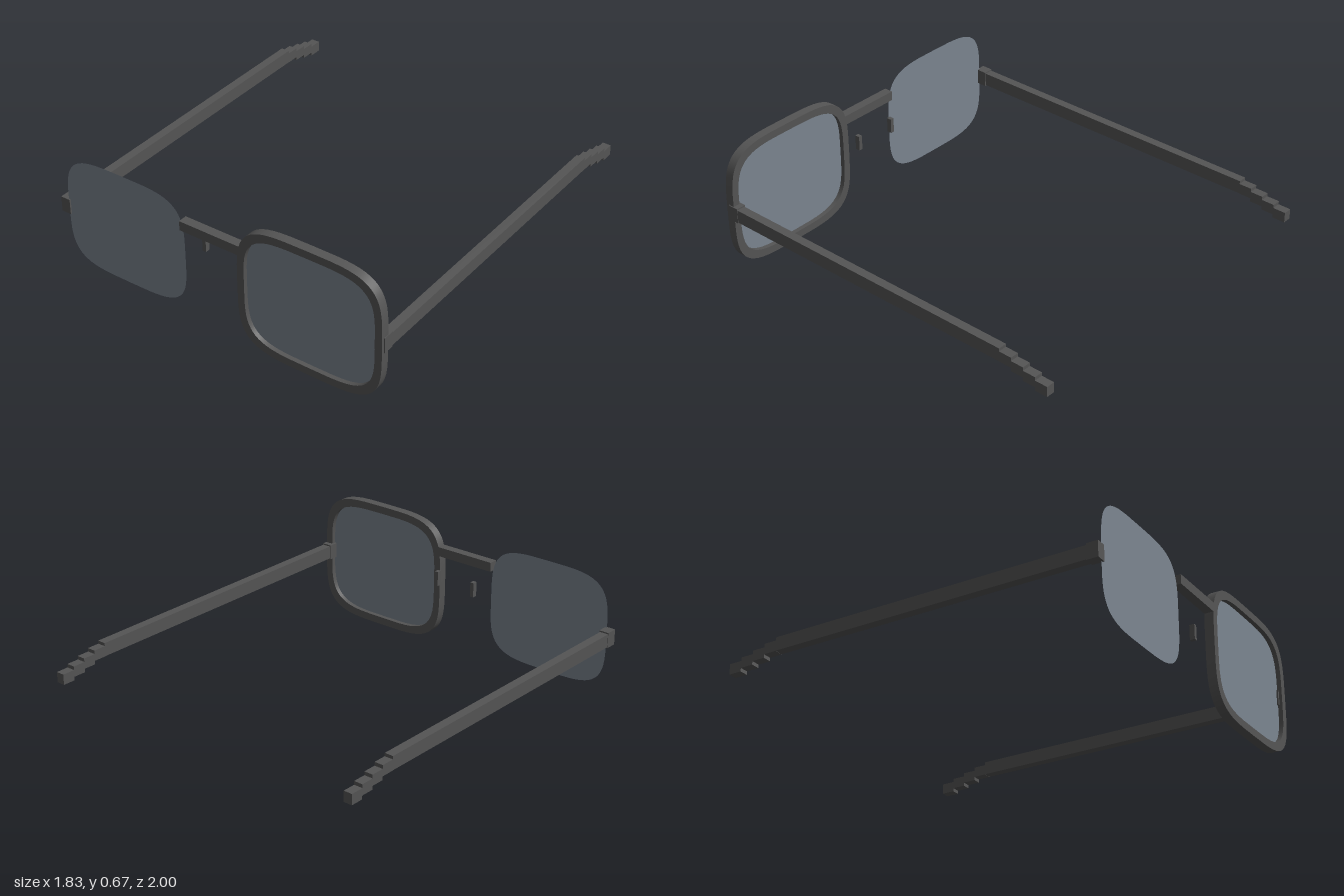
import * as THREE from 'three';
import { toCreasedNormals } from 'three/addons/utils/BufferGeometryUtils.js';

// Rounded-square outline (superellipse)
function outline(cx, cy, rx, ry, steps = 64) {
  const pts = [];
  for (let i = 0; i < steps; i++) {
    const a = (i / steps) * Math.PI * 2;
    const c = Math.cos(a), s = Math.sin(a);
    pts.push(new THREE.Vector2(
      cx + Math.sign(c) * Math.sqrt(Math.abs(c)) * rx,
      cy + Math.sign(s) * Math.sqrt(Math.abs(s)) * ry));
  }
  return pts;
}

export function createModel() {
  const model = new THREE.Group();
  model.name = 'glasses';

  const frameMat = new THREE.MeshStandardMaterial({ color: 0x555555 });
  frameMat.name = 'dark grey frame';
  const lensMat = new THREE.MeshStandardMaterial({ color: 0x7c8691, side: THREE.DoubleSide });
  lensMat.name = 'smoky lens';

  const add = (name, geometry, material, parent = model) => {
    const mesh = new THREE.Mesh(geometry, material);
    mesh.name = name;
    parent.add(mesh);
    return mesh;
  };

  // Box given by its min and max on each axis
  const box = (name, x0, x1, y0, y1, z0, z1, parent) => {
    const mesh = add(name, new THREE.BoxGeometry(x1 - x0, y1 - y0, z1 - z0), frameMat, parent);
    mesh.position.set((x0 + x1) / 2, (y0 + y1) / 2, (z0 + z1) / 2);
    return mesh;
  };

  const cx = 0.525, cy = 0.34;

  // Rim around the left lens only
  const rimShape = new THREE.Shape(outline(cx, cy, 0.387, 0.337));
  rimShape.holes.push(new THREE.Path(outline(cx, cy, 0.35, 0.297)));
  const rimGeo = new THREE.ExtrudeGeometry(rimShape, { depth: 0.047, bevelEnabled: false });
  add('leftRim', toCreasedNormals(rimGeo, 0.5), frameMat).position.z = 0.953;

  // Flat lenses
  for (const [name, side] of [['leftLens', 1], ['rightLens', -1]]) {
    const shape = new THREE.Shape(outline(side * cx, cy, 0.35, 0.297));
    add(name, new THREE.ShapeGeometry(shape), lensMat).position.z = 0.977;
  }

  // Bridge
  box('bridge', -0.182, 0.155, 0.497, 0.546, 0.953, 1);

  for (const [label, s] of [['left', 1], ['right', -1]]) {
    const span = (a, b) => (s > 0 ? [a, b] : [-b, -a]);

    // Nose pad
    box(label + 'NosePad', ...span(0.104, 0.124), 0.36, 0.438, 0.891, 0.917);

    // Temple: hinge, straight arm and stepped tip
    const temple = new THREE.Group();
    temple.name = label + 'Temple';
    model.add(temple);
    box(label + 'Hinge', ...span(0.864, 0.916), 0.3, 0.38, 0.926, 0.985, temple);
    box(label + 'Arm', ...span(0.869, 0.914), 0.304, 0.373, -0.73, 0.96, temple);
    for (let i = 0; i < 4; i++) {
      const top = 0.357 - i * 0.018;
      const z1 = -0.73 - i * 0.0675;
      box(label + 'Tip' + (i + 1), ...span(0.869, 0.914), top - 0.054, top, z1 - 0.0675, z1, temple);
    }
  }

  return model;
}
